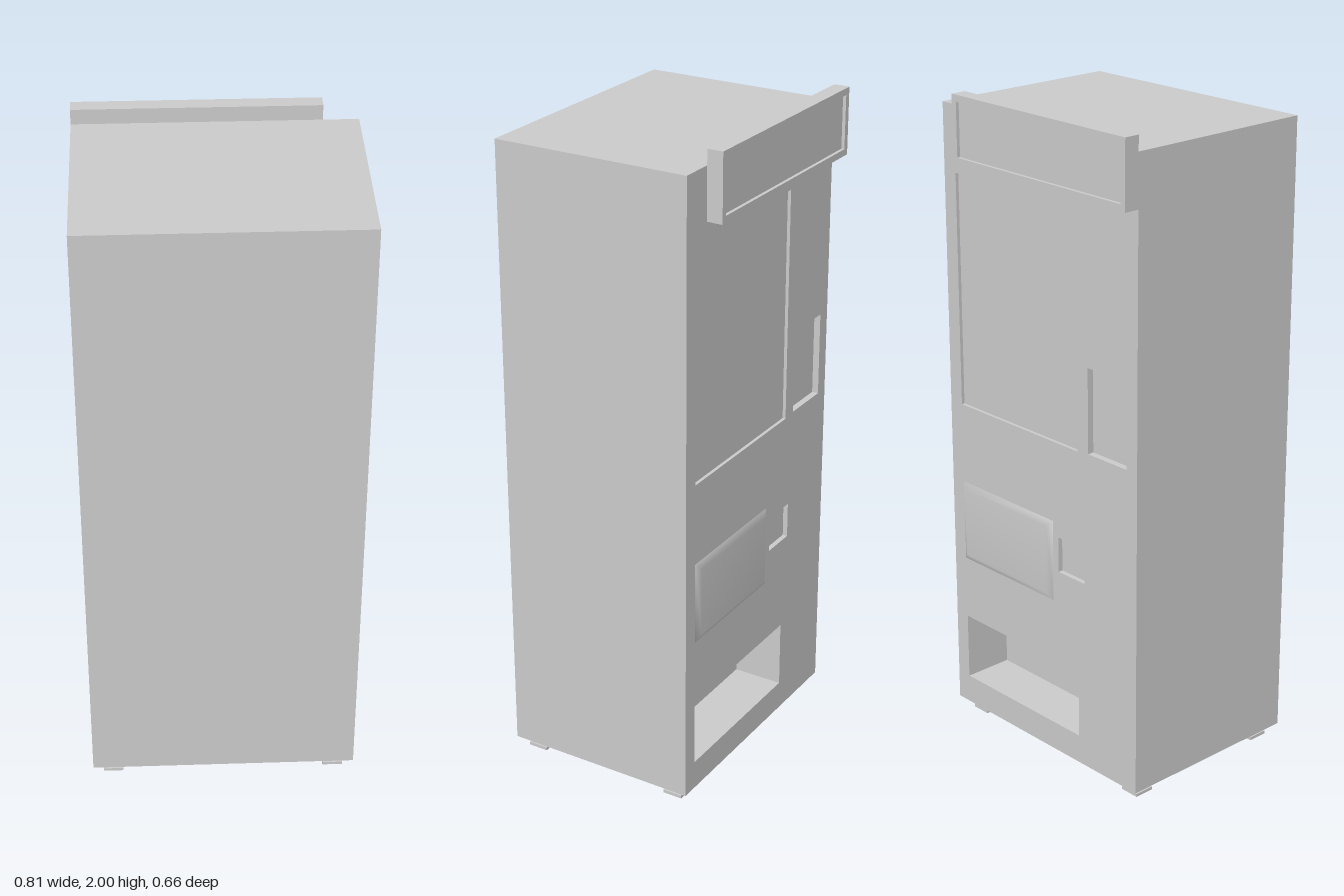
import * as THREE from 'three';

const material = new THREE.MeshStandardMaterial({ color: 0xcccccc });

function mesh(name, geometry) {
  const m = new THREE.Mesh(geometry, material);
  m.name = name;
  return m;
}

// Turn a geometry inside out
function flip(geometry) {
  geometry.setIndex(Array.from(geometry.index.array).reverse());
  const n = geometry.attributes.normal;
  for (let i = 0; i < n.count; i++) n.setXYZ(i, -n.getX(i), -n.getY(i), -n.getZ(i));
  return geometry;
}

// Box between limits, without its -z face
function openBox([x0, x1, y0, y1], z0, z1) {
  const g = new THREE.BoxGeometry(x1 - x0, y1 - y0, z1 - z0);
  g.setIndex(Array.from(g.index.array).slice(0, 30));
  g.clearGroups();
  return g.translate((x0 + x1) / 2, (y0 + y1) / 2, (z0 + z1) / 2);
}

function outline(path, [x0, x1, y0, y1]) {
  path.moveTo(x0, y0).lineTo(x1, y0).lineTo(x1, y1).lineTo(x0, y1).closePath();
  return path;
}

// Box whose -z face carries rectangular recesses
function recessedCase(name, rect, z0, z1, recesses) {
  const group = new THREE.Group();
  group.name = name;
  const face = outline(new THREE.Shape(), rect);
  for (const r of recesses) {
    face.holes.push(outline(new THREE.Path(), r.rect));
    group.add(mesh(r.name, flip(openBox(r.rect, z0, z0 + r.depth))));
  }
  group.add(mesh(name + 'Shell', openBox(rect, z0, z1)));
  group.add(mesh(name + 'Face', flip(new THREE.ShapeGeometry(face).translate(0, 0, z0))));
  return group;
}

// Softly shaded raised panel with sloping edges
function raisedPanel([x0, x1, y0, y1], z, height, bevel) {
  const ring = (b, d) => [
    x0 + b, y0 + b, d, x1 - b, y0 + b, d, x1 - b, y1 - b, d, x0 + b, y1 - b, d,
  ];
  const index = [4, 6, 5, 4, 7, 6];
  for (let i = 0; i < 4; i++) {
    const j = (i + 1) % 4;
    index.push(i, i + 4, j, j, i + 4, j + 4);
  }
  const g = new THREE.BufferGeometry();
  g.setAttribute('position', new THREE.Float32BufferAttribute(
    [...ring(0, z), ...ring(bevel, z - height)], 3));
  g.setIndex(index);
  g.computeVertexNormals();
  return g;
}

export function createModel() {
  const model = new THREE.Group();
  model.name = 'vendingMachine';
  const front = -0.28;

  // Cabinet with window, payment panel, button and collection tray
  model.add(recessedCase('cabinet', [-0.405, 0.405, 0.04, 1.955], front, 0.328, [
    { name: 'displayWindow', rect: [-0.16, 0.355, 1.045, 1.755], depth: 0.01 },
    { name: 'paymentPanel', rect: [-0.363, -0.205, 1.05, 1.307], depth: 0.02 },
    { name: 'coinReturn', rect: [-0.188, -0.075, 0.64, 0.75], depth: 0.015 },
    { name: 'collectionTray', rect: [-0.16, 0.355, 0.13, 0.34], depth: 0.155 },
  ]));

  // Header sign
  model.add(recessedCase('headerSign', [-0.405, 0.303, 1.8, 2], -0.328, front, [
    { name: 'signPanel', rect: [-0.387, 0.285, 1.82, 1.98], depth: 0.01 },
  ]));

  // Raised flap
  model.add(mesh('raisedFlap', raisedPanel([-0.052, 0.355, 0.54, 0.795], front, 0.011, 0.02)));

  // Levelling feet
  for (const x of [-0.343, 0.343]) {
    for (const z of [-0.215, 0.272]) {
      const foot = new THREE.Group();
      foot.name = 'foot';
      foot.add(mesh('footPlate', new THREE.BoxGeometry(0.062, 0.01, 0.062).translate(0, 0.005, 0)));
      foot.add(mesh('footStem', new THREE.CylinderGeometry(0.015, 0.015, 0.032, 8).translate(0, 0.025, 0)));
      foot.position.set(x, 0, z);
      model.add(foot);
    }
  }
  return model;
}
